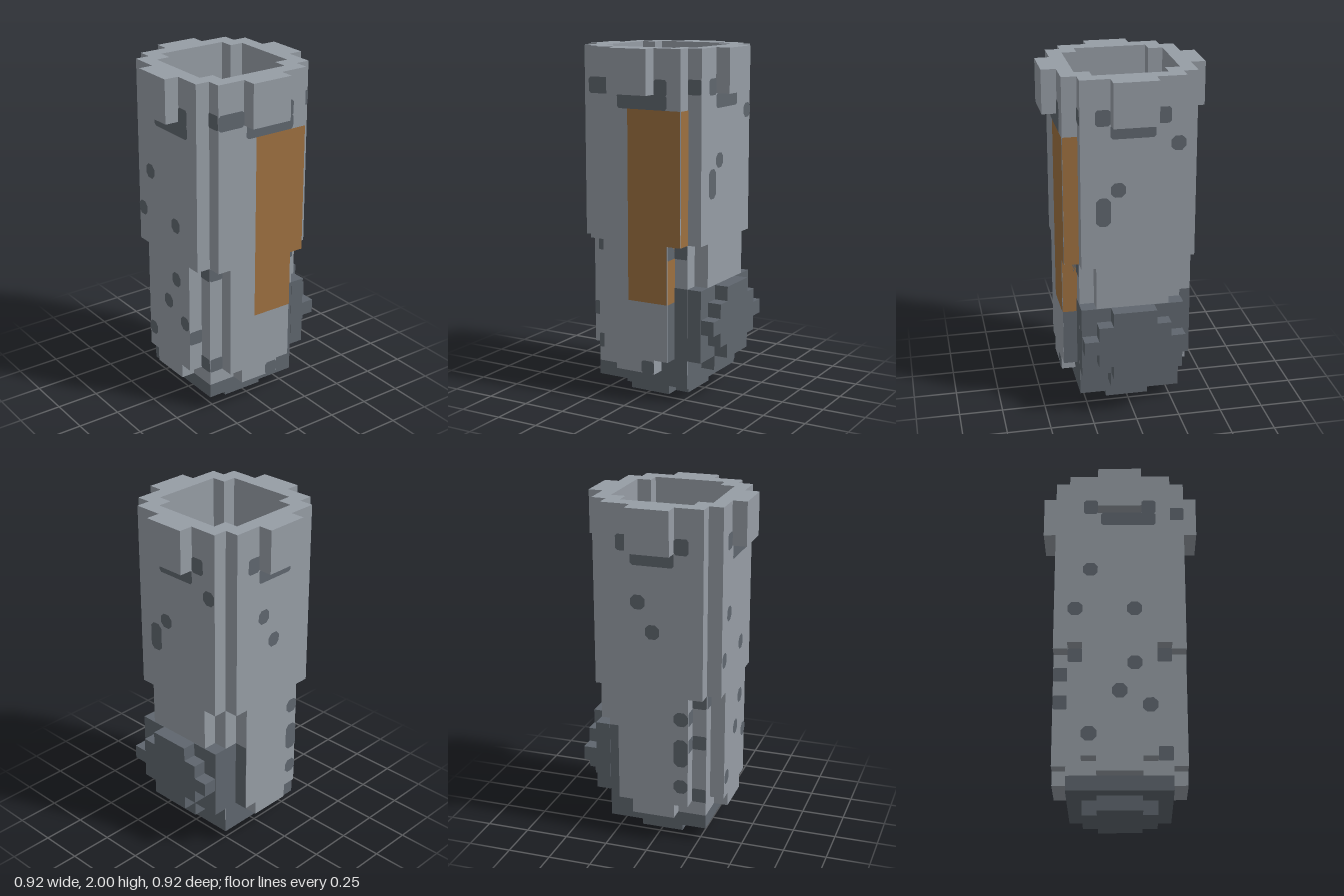
import * as THREE from 'three';

const U = 1 / 12; // one block

export function createModel() {
  const model = new THREE.Group();
  const stone = new THREE.MeshStandardMaterial({ color: 0x969da5 });
  const darkStone = new THREE.MeshStandardMaterial({ color: 0x5f666e });
  const wood = new THREE.MeshStandardMaterial({ color: 0x9d7040 });
  stone.name = 'stone';
  darkStone.name = 'dark stone';
  wood.name = 'orange panel';

  const blocks = new THREE.Group();
  blocks.name = 'tower';
  blocks.scale.setScalar(U);
  model.add(blocks);

  function add(name, geometry, material, parent = blocks) {
    const mesh = new THREE.Mesh(geometry, material);
    mesh.name = name;
    parent.add(mesh);
    return mesh;
  }

  // Symmetric stepped outline from half sizes [x, z], widest x first
  function outline(steps) {
    const quarter = [];
    steps.forEach(([x, z], i) => {
      if (i) quarter.push([x, steps[i - 1][1]]);
      quarter.push([x, z]);
    });
    const back = [...quarter].reverse();
    return [
      ...quarter,
      ...back.map(([x, z]) => [-x, z]),
      ...quarter.map(([x, z]) => [-x, -z]),
      ...back.map(([x, z]) => [x, -z]),
    ].map(([x, z]) => new THREE.Vector2(x, z));
  }

  // Storey with a stepped outer outline and an optional stepped cavity
  function storey(name, outer, inner, y0, y1, material) {
    const shape = new THREE.Shape(outline(outer));
    if (inner) shape.holes.push(new THREE.Path(outline(inner)));
    const geo = new THREE.ExtrudeGeometry(shape, { depth: y1 - y0, bevelEnabled: false });
    geo.rotateX(-Math.PI / 2);
    geo.translate(0, y0, 0);
    return add(name, geo, material);
  }

  function box(name, x0, x1, y0, y1, z0, z1, material) {
    const geo = new THREE.BoxGeometry(x1 - x0, y1 - y0, z1 - z0);
    geo.translate((x0 + x1) / 2, (y0 + y1) / 2, (z0 + z1) / 2);
    return add(name, geo, material);
  }

  // Stacked storeys, from foot to rim
  const cavity = [[3.5, 2.5], [2.5, 3.5]];
  const smallOct = [[2.5, 1.5], [1.5, 2.5]];
  storey('foot', smallOct, null, 0, 1, darkStone);
  storey('plinth', [[3.5, 3.5]], smallOct, 1, 2, darkStone);
  storey('lowerCourse', [[4.5, 1.5], [3.5, 3.5], [1.5, 4.5]], [[3.5, 1.5], [1.5, 3.5]], 2, 3, stone);
  storey('lowerWall', [[4.5, 2.5], [3.5, 3.5], [2.5, 4.5]], cavity, 3, 11, stone);
  storey('upperWall', [[4.5, 3.5], [3.5, 4.5]], cavity, 11, 24, stone);

  // Inner floor with a dark cross and patched ledges
  storey('floor', smallOct, null, 1, 1.04, stone);
  storey('floorCross', [[1.5, 0.5], [0.5, 1.5]], null, 1.04, 1.08, darkStone);
  for (const s of [-1, 1]) {
    box('sideLedge', s * 3 - 0.5, s * 3 + 0.5, 2, 2.04, -1.5, 1.5, stone);
  }
  box('frontLedge', -0.5, 0.5, 2, 2.04, 2.5, 3.5, stone);
  box('ledgePatch', 1.5, 2.5, 3, 3.04, 1.5, 2.5, darkStone);

  // One frame per side: local x runs along the wall, local z points outwards
  const sides = {};
  ['front', 'right', 'back', 'left'].forEach((name, i) => {
    const side = new THREE.Group();
    side.name = name + 'Side';
    side.rotation.y = i * Math.PI / 2;
    blocks.add(side);
    sides[name] = side;
    // Rim bump
    const bump = new THREE.BoxGeometry(3, 3, 1);
    bump.translate(0, 22.5, 5);
    add('rimBump', bump, stone, side);
  });

  // Depth of the wall surface at a given place
  function wallDepth(a, y) {
    const d = Math.abs(a);
    if (y >= 11) return d < 3.5 ? 4.5 : 3.5;
    if (y < 3) return d < 1.5 ? 4.5 : d < 3.5 ? 3.5 : 1.5;
    return d < 2.5 ? 4.5 : d < 3.5 ? 3.5 : 2.5;
  }

  // Flat painted patch with clipped corners
  function patch(name, side, a0, a1, y0, y1, material, cut = 0) {
    const points = [
      [a0 + cut, y0], [a1 - cut, y0], [a1, y0 + cut], [a1, y1 - cut],
      [a1 - cut, y1], [a0 + cut, y1], [a0, y1 - cut], [a0, y0 + cut],
    ].filter((p, i) => cut > 0 || i % 2 === 0);
    const geo = new THREE.ShapeGeometry(new THREE.Shape(points.map(p => new THREE.Vector2(...p))));
    geo.translate(0, 0, wallDepth((a0 + a1) / 2, (y0 + y1) / 2) + 0.04);
    add(name, geo, material, sides[side]);
  }

  // Weathered spots: [along wall, bottom, height]
  const spots = {
    front: [[-2, 16], [-3, 13], [1, 13], [1, 9], [0, 7], [2, 6], [-2, 4]],
    right: [],
    back: [[-2, 14, 2], [-1, 16], [3, 19]],
    left: [[-1, 17], [0, 15], [2, 9], [2, 6, 2], [2, 4]],
  };
  for (const [side, list] of Object.entries(spots)) {
    for (const [a, y, h = 1] of list) patch('spot', side, a - 0.5, a + 0.5, y, y + h, darkStone, 0.27);
  }

  // Square patches on the corner steps
  const corners = {
    front: [[-3, 10], [3, 10], [-4, 9], [-4, 7], [3, 3], [4, 21]],
    right: [[-3, 10], [-4, 5], [-3, 3], [3, 10], [4, 21]],
    back: [[-4, 10]],
    left: [[3, 10], [3, 7], [3, 3]],
  };
  for (const [side, list] of Object.entries(corners)) {
    for (const [a, y] of list) patch('cornerPatch', side, a - 0.5, a + 0.5, y, y + 1, darkStone, 0.08);
  }

  // Stain under each rim bump: [band start, band end, left blot start, right blot end]
  const stains = {
    front: [-1.3, 2.5, -2.5, 2.5],
    right: [-1.3, 2.5, -3.5, 2.5],
    back: [-1.5, 1.5, -2.5, 2.5],
    left: [-1.5, 1.5, -2.5, 2.5],
  };
  for (const [side, [b0, b1, l, r]] of Object.entries(stains)) {
    patch('rimStain', side, b0, b1, 20, 21, darkStone, 0.15);
    patch('rimStain', side, l, -1.5, 20.9, 22, darkStone, 0.15);
    patch('rimStain', side, 1.5, r, 20.9, 22, darkStone, 0.15);
  }

  // Orange panel on the right wall, wrapping round the back corner
  patch('panel', 'right', -0.5, 3.5, 11, 20, wood);
  patch('panel', 'right', -0.5, 2.5, 7, 11, wood);
  patch('panelEdge', 'back', -4.5, -3.5, 11, 20, wood);
  patch('panelEdge', 'back', -4.5, -3.5, 7, 11, wood);

  // Dark rounded boulder patch on the back
  [1.5, 2.5, 3.5, 2.5, 1.5].forEach((w, i) => {
    box('backBoulder', -w, w, 3 + i, 4 + i, -5.5, -4.5, darkStone);
  });
  box('backFill', -3.54, 3.54, 3, 8, -4.54, -3.52, darkStone);
  box('backFoot', -1.54, 1.54, 1.98, 3, -4.54, -3.52, darkStone);
  patch('backCorner', 'right', 2.5, 3.5, 3, 8, darkStone);
  patch('backCorner', 'left', -3.5, -2.5, 3, 8, darkStone);
  patch('backCorner', 'back', -4.5, -3.5, 3, 7, darkStone);
  patch('backCorner', 'back', 3.5, 4.5, 3, 8, darkStone);

  // Dark lower edge around the back
  patch('lowerStain', 'right', 0.5, 1.5, 2, 2.9, darkStone, 0.15);
  patch('lowerStain', 'right', 1.5, 3.5, 2, 3, darkStone);
  patch('lowerStain', 'left', -3.5, -1.5, 2, 3, darkStone);
  patch('lowerStain', 'back', -3.5, -1.5, 2, 3, darkStone);
  patch('lowerStain', 'back', 1.5, 3.5, 2, 3, darkStone);

  return model;
}
